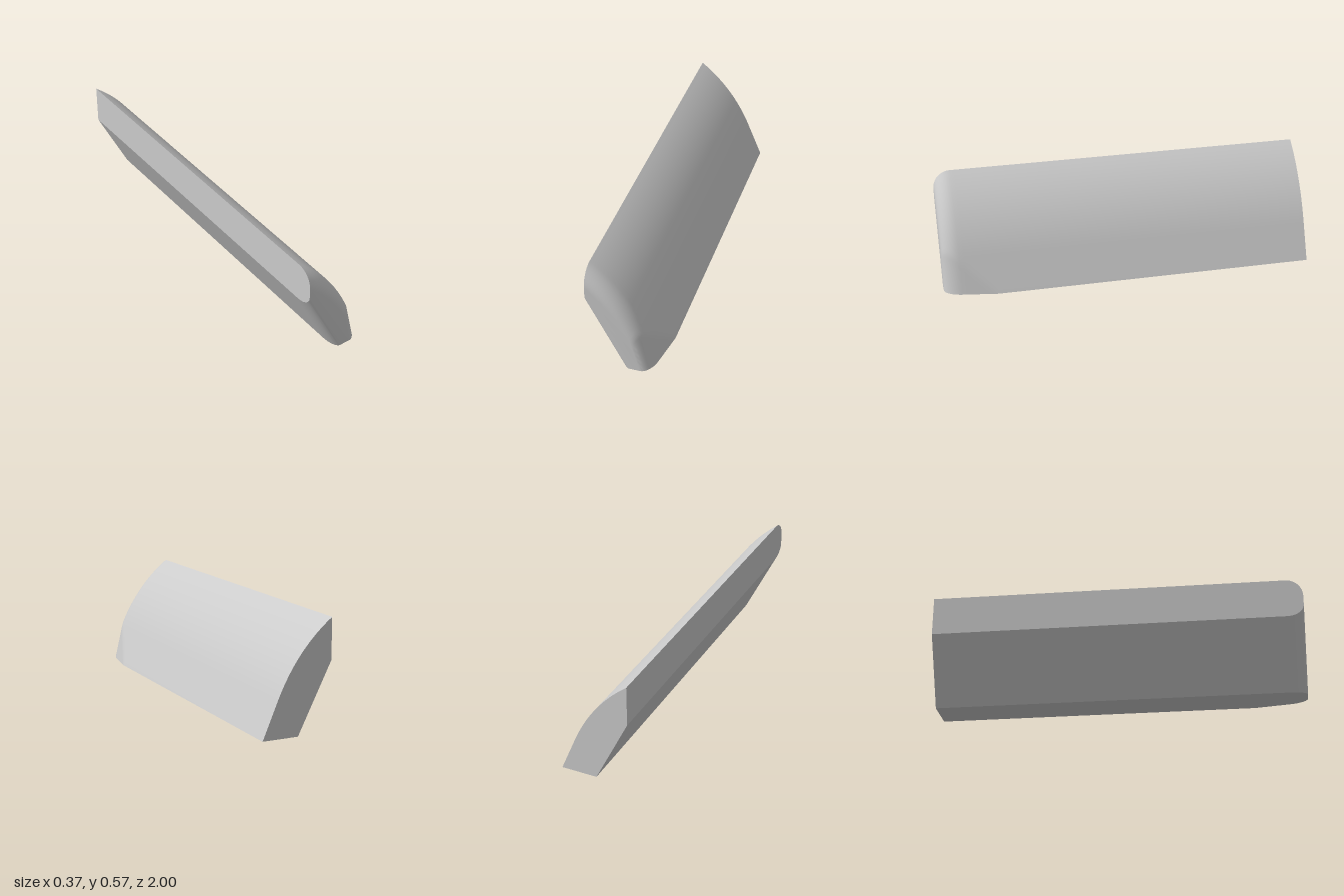
import * as THREE from 'three';
import { toCreasedNormals } from 'three/addons/utils/BufferGeometryUtils.js';

const TOP = 0.573;

// Outer edge of the cross-section: straight foot, then a curve up to the tip
function outerEdge() {
  const pts = [];
  for (let i = 0; i < 8; i++) {
    const y = 0.19 * i / 8;
    pts.push(new THREE.Vector2(0.185 - 0.421 * y, y));
  }
  const curve = new THREE.QuadraticBezierCurve(
    new THREE.Vector2(0.105, 0.19), new THREE.Vector2(0.004, 0.43), new THREE.Vector2(-0.187, TOP));
  return pts.concat(curve.getPoints(20));
}

// Counter-clockwise section at depth z; round (0..1) draws it in at the front
function section(z, round) {
  const outer = outerEdge().map((p) => {
    const a = p.y / TOP * Math.PI / 2;
    // slanted chamfer at the front lower corner
    const x = Math.min(p.x, 0.185 - 0.167 * (z - 0.72) - 0.237 * p.y);
    const inX = a > 1.57 ? 0 : 0.05 * Math.cos(a);
    return new THREE.Vector2(z > 0.72 ? x - inX * round : p.x, p.y - 0.095 * Math.sin(a) * round);
  });
  return [
    new THREE.Vector2(-0.187, 0.36 + 0.065 * round),
    new THREE.Vector2(-0.008 + 0.037 * round, 0),
    ...outer,
  ];
}

export function createModel() {
  // Straight length, chamfer, then rounded front end
  const stations = [[-1, 0]];
  for (let i = 0; i <= 8; i++) stations.push([0.72 + 0.19 * i / 8, 0]);
  for (let i = 1; i <= 10; i++) {
    const a = i / 10 * Math.PI / 2;
    stations.push([0.91 + 0.09 * Math.sin(a), 1 - Math.cos(a)]);
  }
  const rings = stations.map(([z, r]) => section(z, r).map((p) => new THREE.Vector3(p.x, p.y, z)));

  const pos = [];
  const tri = (...vs) => vs.forEach((v) => pos.push(v.x, v.y, v.z));
  const n = rings[0].length;
  for (let j = 0; j < rings.length - 1; j++) {
    for (let i = 0; i < n; i++) {
      const k = (i + 1) % n;
      const a = rings[j][i], b = rings[j][k], c = rings[j + 1][k], d = rings[j + 1][i];
      tri(a, b, c);
      tri(a, c, d);
    }
  }
  // Back and front caps
  const cap = (ring, front) => {
    const faces = THREE.ShapeUtils.triangulateShape(ring.map((v) => new THREE.Vector2(v.x, v.y)), []);
    for (const [a, b, c] of faces) {
      const ccw = (ring[b].x - ring[a].x) * (ring[c].y - ring[a].y)
        - (ring[b].y - ring[a].y) * (ring[c].x - ring[a].x) > 0;
      if (ccw === front) tri(ring[a], ring[b], ring[c]);
      else tri(ring[a], ring[c], ring[b]);
    }
  };
  cap(rings[0], false);
  cap(rings[rings.length - 1], true);

  const geo = new THREE.BufferGeometry();
  geo.setAttribute('position', new THREE.Float32BufferAttribute(pos, 3));
  const panel = new THREE.Mesh(toCreasedNormals(geo, 0.45),
    new THREE.MeshStandardMaterial({ color: 0xcccccc }));
  panel.name = 'curvedPanel';

  const group = new THREE.Group();
  group.name = 'curvedSidePanel';
  group.add(panel);
  return group;
}
